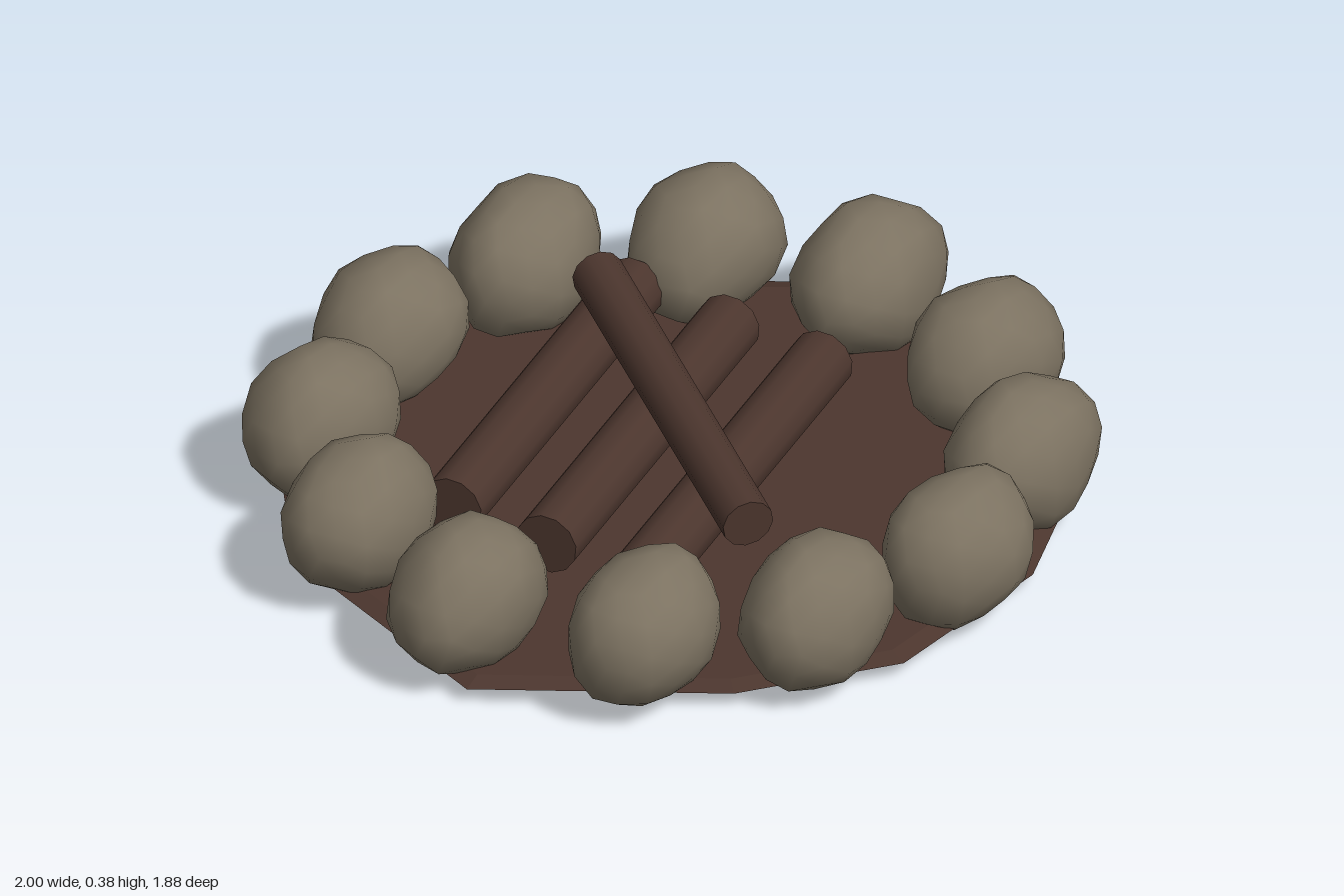
import * as THREE from 'three';
import { mergeVertices } from 'three/addons/utils/BufferGeometryUtils.js';

const stoneMat = new THREE.MeshStandardMaterial({ color: 0x7c7261 });
stoneMat.name = 'stone';
const woodMat = new THREE.MeshStandardMaterial({ color: 0x4c362e });
woodMat.name = 'dark wood';

// Lumpy, smooth-shaded ellipsoid; the seed changes the lumps
function stoneGeometry(seed) {
  let g = new THREE.IcosahedronGeometry(1, 2);
  g.deleteAttribute('normal');
  g.deleteAttribute('uv');
  g = mergeVertices(g, 1e-4);
  const p = g.attributes.position;
  const v = new THREE.Vector3();
  for (let i = 0; i < p.count; i++) {
    v.fromBufferAttribute(p, i);
    const lump = Math.sin(v.x * 4.1 + seed * 1.7) * Math.sin(v.y * 3.7 + seed)
      + 0.6 * Math.sin(v.z * 6.3 + v.x * 3 + seed * 2.3);
    v.multiplyScalar(1 + 0.045 * lump);
    p.setXYZ(i, v.x * 0.21, v.y * 0.178, v.z * 0.158);
  }
  g.computeVertexNormals();
  return g;
}

// Irregular slab: a flat top, an outer rim and a shallow tapered underside
function groundGeometry(outline) {
  const n = outline.length;
  const rings = [[0, 0.06], [0.95, 0.06], [1, 0.047], [0.9, 0.03], [0, 0.022]];
  const pos = [], idx = [];
  for (const [s, y] of rings) for (const [x, z] of outline) pos.push(x * s, y, z * s);
  for (let r = 0; r < rings.length - 1; r++) {
    for (let i = 0; i < n; i++) {
      const a = r * n + i, b = r * n + (i + 1) % n;
      if (r > 0) idx.push(a, a + n, b);
      if (r < rings.length - 2) idx.push(b, a + n, b + n);
    }
  }
  const g = new THREE.BufferGeometry();
  g.setAttribute('position', new THREE.Float32BufferAttribute(pos, 3));
  g.setIndex(idx);
  const flat = g.toNonIndexed();
  flat.computeVertexNormals();
  return flat;
}

// Cylinder between two points
function log(name, from, to, radius) {
  const a = new THREE.Vector3(...from), b = new THREE.Vector3(...to);
  const dir = b.clone().sub(a);
  const m = new THREE.Mesh(new THREE.CylinderGeometry(radius, radius, dir.length(), 12), woodMat);
  m.position.copy(a).add(b).multiplyScalar(0.5);
  m.quaternion.setFromUnitVectors(new THREE.Vector3(0, 1, 0), dir.normalize());
  m.name = name;
  return m;
}

export function createModel() {
  const model = new THREE.Group();
  model.name = 'firePit';

  // Earth slab, corners as x, z running counter-clockwise from above
  const outline = [
    [0.92, 0.08], [0.86, -0.25], [0.5, -0.77], [0.22, -0.83], [-0.22, -0.83], [-0.52, -0.71],
    [-0.72, -0.54], [-0.93, 0.08], [-0.6, 0.58], [-0.28, 0.82], [0.18, 0.85], [0.58, 0.7],
  ];
  const ground = new THREE.Mesh(groundGeometry(outline), woodMat);
  ground.name = 'ground';
  model.add(ground);

  // Ring of stones
  const stones = new THREE.Group();
  stones.name = 'stoneRing';
  const centres = [
    [0, -0.785], [0.4, -0.695], [0.685, -0.4], [0.78, -0.02], [0.67, 0.375], [0.395, 0.67],
    [0, 0.77], [-0.39, 0.66], [-0.67, 0.385], [-0.785, -0.02], [-0.665, -0.4], [-0.39, -0.7],
  ];
  centres.forEach(([x, z], i) => {
    const s = new THREE.Mesh(stoneGeometry(i * 1.3 + 0.4), stoneMat);
    s.position.set(x, 0.19, z);
    s.name = 'stone' + (i + 1);
    stones.add(s);
  });
  model.add(stones);

  // Three parallel logs and one leaning across them
  const logs = new THREE.Group();
  logs.name = 'logs';
  [-0.275, -0.015, 0.24].forEach((z, i) => {
    logs.add(log('log' + (i + 1), [-0.485, 0.16, z], [0.485, 0.16, z - 0.18], 0.074));
  });
  logs.add(log('topLog', [-0.275, 0.255, 0.39], [0.275, 0.325, -0.41], 0.06));
  model.add(logs);

  return model;
}
